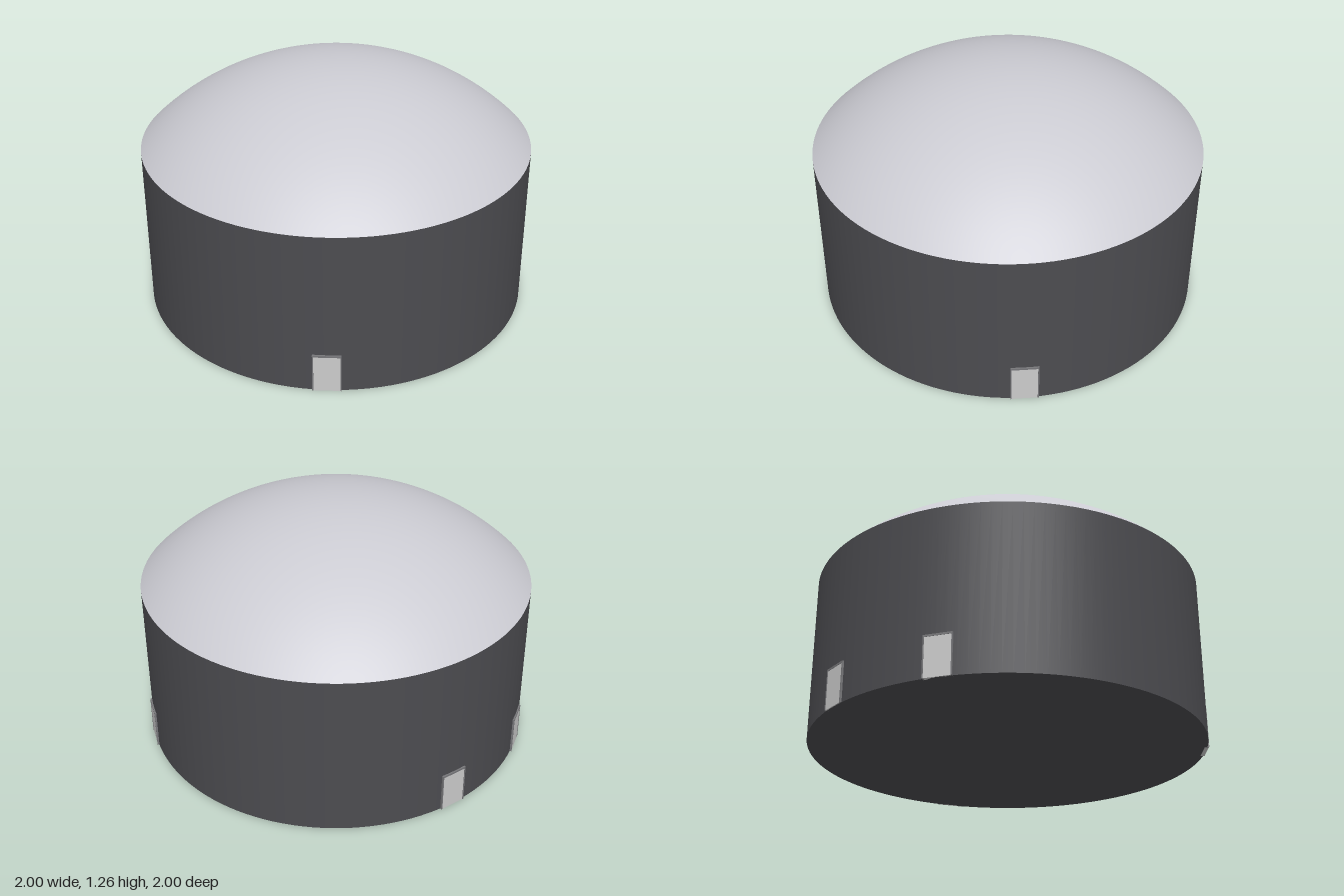
import * as THREE from 'three';

const WALL_H = 0.85, RISE = 0.41, SEG = 128;
const mat = (color) => new THREE.MeshStandardMaterial({ color });

function add(parent, name, geometry, material, x = 0, y = 0, z = 0) {
  const mesh = new THREE.Mesh(geometry, material);
  mesh.name = name;
  mesh.position.set(x, y, z);
  parent.add(mesh);
  return mesh;
}

export function createModel() {
  const model = new THREE.Group();
  model.name = 'domedTank';
  const wallMat = mat(0x4c4c50), roofMat = mat(0xcbcbd2);
  const doorMat = mat(0xcccccc), frameMat = mat(0x77777a);

  // Round wall with closed base
  add(model, 'wall', new THREE.CylinderGeometry(1, 1, WALL_H, SEG), wallMat, 0, WALL_H / 2, 0);

  // Shallow spherical roof cap
  const r = (1 + RISE * RISE) / (2 * RISE);
  const roof = new THREE.SphereGeometry(r, SEG, 32, 0, Math.PI * 2, 0, Math.asin(1 / r));
  add(model, 'domeRoof', roof, roofMat, 0, WALL_H + RISE - r, 0);

  // Four doors, mirrored front to back; angles are measured from +x
  for (const side of [1, -1]) {
    for (const degrees of [54.4, 162.5]) {
      const a = side * THREE.MathUtils.degToRad(degrees);
      const door = new THREE.Group();
      door.name = 'door';
      door.position.set(Math.cos(a), 0, Math.sin(a));
      door.rotation.y = Math.PI / 2 - a;
      add(door, 'doorPanel', new THREE.BoxGeometry(0.128, 0.195, 0.02), doorMat, 0, 0.0975, -0.005);

      // Thin frame: two jambs and a lintel
      for (const s of [1, -1]) {
        add(door, 'jamb', new THREE.BoxGeometry(0.006, 0.2, 0.024), frameMat, s * 0.067, 0.1, -0.005);
      }
      add(door, 'lintel', new THREE.BoxGeometry(0.14, 0.01, 0.024), frameMat, 0, 0.2, -0.005);
      model.add(door);
    }
  }
  return model;
}
